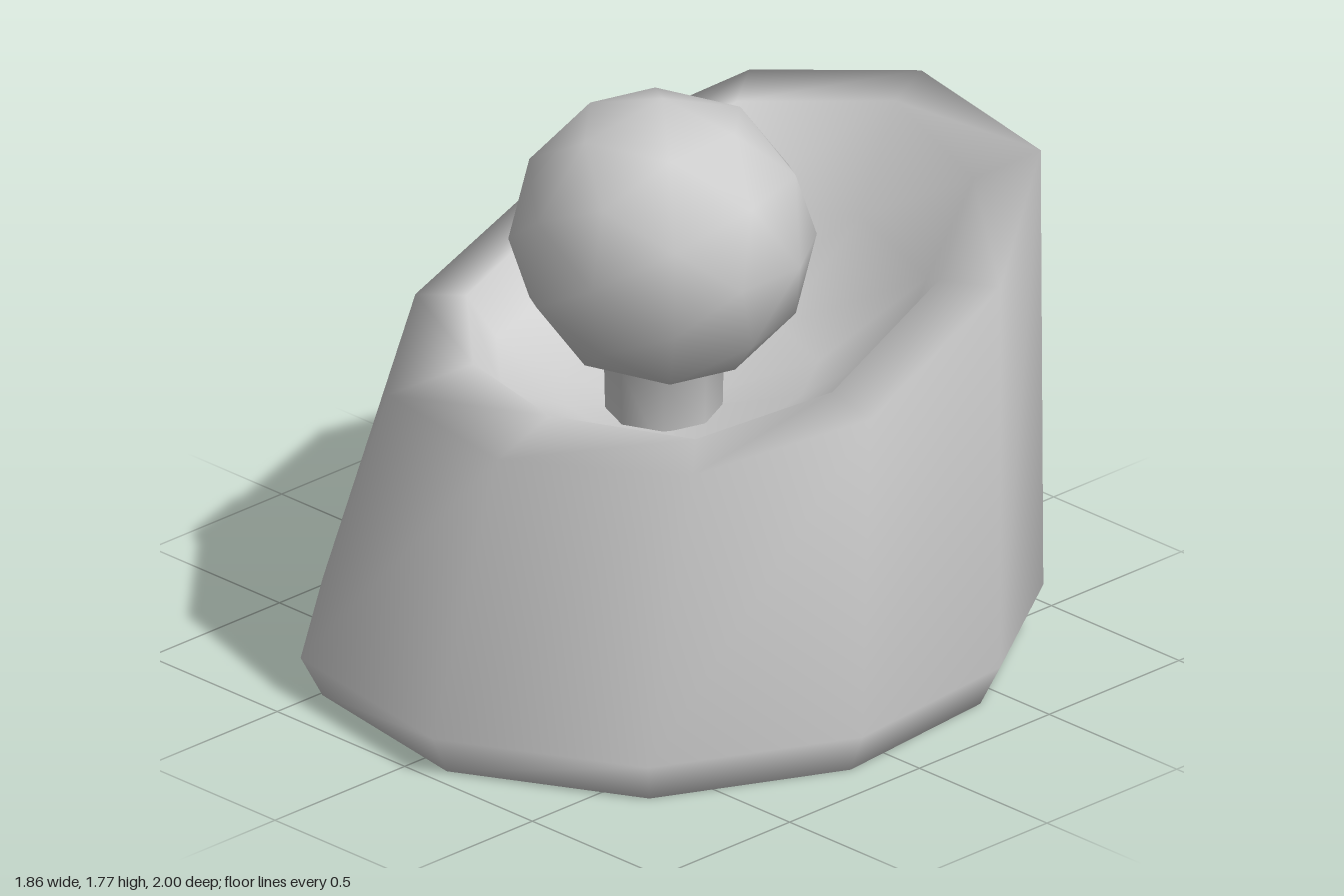
import * as THREE from 'three';

// Skins closed rings of equal point count, listed from the inside of the base to the inside of the cup
function skin(rings) {
  const n = rings[0].length;
  const index = [];
  for (let r = 0; r < rings.length - 1; r++) {
    for (let i = 0; i < n; i++) {
      const a = r * n + i, b = r * n + (i + 1) % n;
      index.push(a, a + n, b, a + n, b + n, b);
    }
  }
  const g = new THREE.BufferGeometry();
  g.setAttribute('position', new THREE.Float32BufferAttribute(rings.flat(2), 3));
  g.setIndex(index);
  g.computeVertexNormals();
  return g;
}

export function createModel() {
  const group = new THREE.Group();
  const material = new THREE.MeshStandardMaterial({ color: 0xcccccc });
  const add = (name, geometry, x = 0, y = 0, z = 0) => {
    const mesh = new THREE.Mesh(geometry, material);
    mesh.name = name;
    mesh.position.set(x, y, z);
    group.add(mesh);
    return mesh;
  };

  // Widest outline of the base, as x, z, from the back round by the left side
  const outline = [[-0.05, -1], [0.57, -0.9], [0.87, -0.44], [0.93, 0.15], [0.66, 0.71],
    [0.11, 1], [-0.52, 0.89], [-0.85, 0.48], [-0.93, -0.31], [-0.69, -0.8]];
  // Slanted outer edge of the opening
  const rim = [[0, 1.46, -0.99], [0.57, 1.44, -0.89], [0.87, 1.27, -0.44], [0.91, 1.06, 0.1], [0.66, 0.95, 0.54],
    [0.15, 0.91, 0.79], [-0.34, 0.925, 0.73], [-0.64, 1, 0.33], [-0.7, 1.21, -0.37], [-0.48, 1.365, -0.8]];
  // Inner edge of the opening
  const lip = [[0.03, 1.42, -0.86], [0.48, 1.38, -0.72], [0.67, 1.24, -0.4], [0.74, 1.08, 0.08], [0.55, 0.985, 0.42],
    [0.13, 0.965, 0.57], [-0.22, 0.99, 0.52], [-0.49, 1.03, 0.28], [-0.54, 1.2, -0.25], [-0.41, 1.33, -0.68]];

  const floor = [0.1, 0.82, 0.1];
  const base = (s, y) => outline.map(([x, z]) => [x * s, y, z * s]);
  // Rings of the hollow, shrinking towards its floor
  const hollow = (s, drop) => lip.map(([x, y, z]) => [
    THREE.MathUtils.lerp(floor[0], x, s),
    THREE.MathUtils.lerp(floor[1], y, drop),
    THREE.MathUtils.lerp(floor[2], z, s)]);

  add('hollowBody', skin([
    base(0, 0), base(0.9, 0), base(0.94, 0), base(1, 0.12),
    rim, lip, hollow(0.85, 0.5), hollow(0.5, 0.14), hollow(0, 0),
  ]));

  // Short stem, flaring into the ball
  const profile = [[0.16, 0], [0.165, 0.24], [0.26, 0.36]].map(p => new THREE.Vector2(...p));
  add('stem', new THREE.LatheGeometry(profile, 8), 0.11, 0.76, 0.11);

  // Faceted ball with smooth shading
  const ball = add('ball', new THREE.IcosahedronGeometry(0.43, 1), 0.11, 1.355, 0.115);
  ball.scale.set(1, 0.97, 0.95);
  ball.rotation.y = 0.3;

  return group;
}
